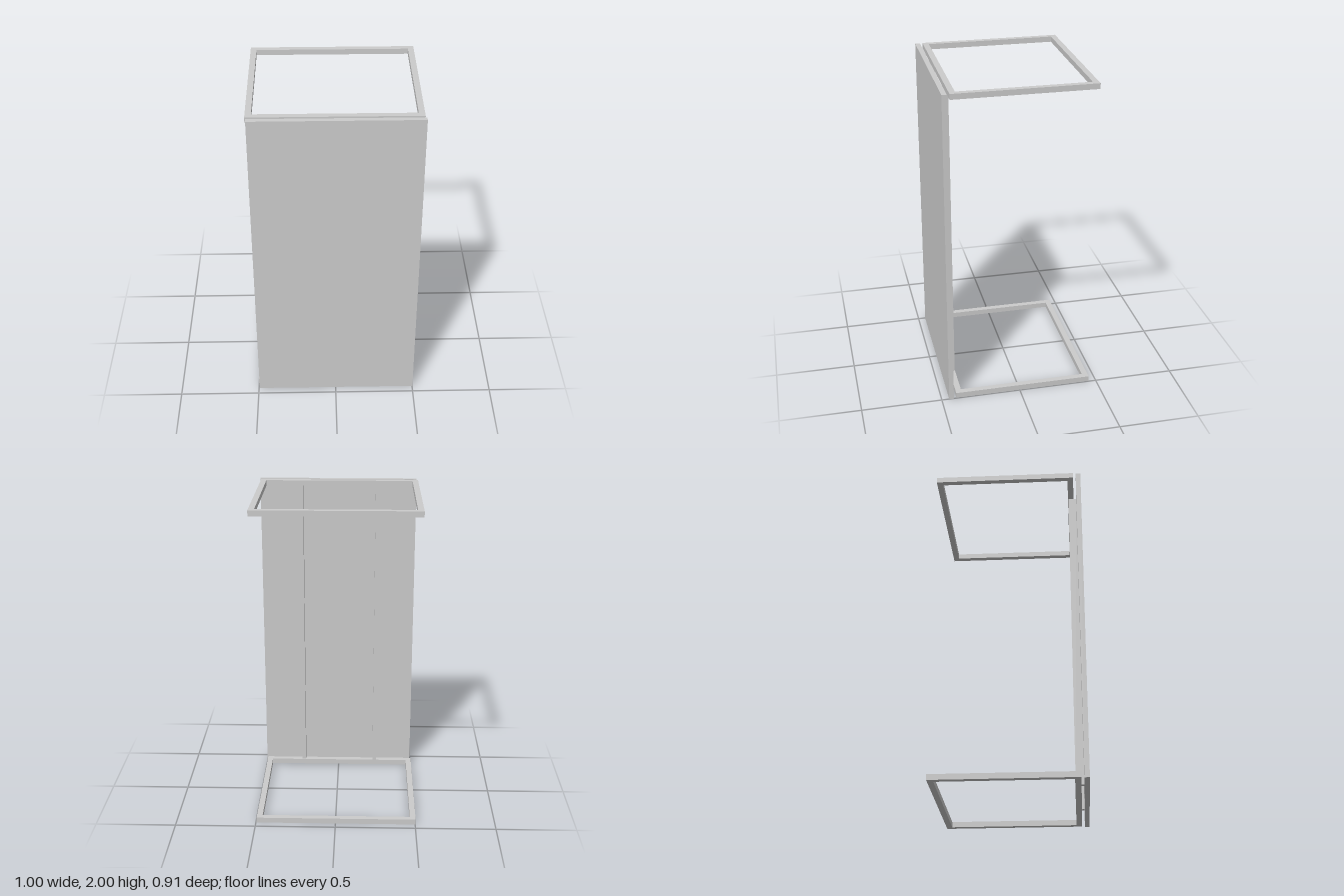
import * as THREE from 'three';

const material = new THREE.MeshStandardMaterial({ color: 0xcccccc, flatShading: true });

// Box given by its lower and upper limits on each axis
function box(name, [x0, x1], [y0, y1], [z0, z1]) {
  const mesh = new THREE.Mesh(new THREE.BoxGeometry(x1 - x0, y1 - y0, z1 - z0), material);
  mesh.position.set((x0 + x1) / 2, (y0 + y1) / 2, (z0 + z1) / 2);
  mesh.name = name;
  return mesh;
}

// Rectangular ring lying flat, extruded upward from y
function ringFrame(name, [x0, x1], [z0, z1], bar, y, height) {
  const corners = (inset) => [
    new THREE.Vector2(x0 + inset, -z1 + inset),
    new THREE.Vector2(x1 - inset, -z1 + inset),
    new THREE.Vector2(x1 - inset, -z0 - inset),
    new THREE.Vector2(x0 + inset, -z0 - inset),
  ];
  const shape = new THREE.Shape(corners(0));
  shape.holes.push(new THREE.Path(corners(bar).reverse()));
  const geometry = new THREE.ExtrudeGeometry(shape, { depth: height, bevelEnabled: false });
  geometry.rotateX(-Math.PI / 2);
  const mesh = new THREE.Mesh(geometry, material);
  mesh.position.y = y;
  mesh.name = name;
  return mesh;
}

export function createModel() {
  const group = new THREE.Group();
  group.name = 'panelStand';
  const barHeight = 0.034;
  const barWidth = 0.0355;
  const frameX = [-0.5025, 0.495];
  const frameZ = [-0.4535, 0.407];

  // Front panel, slightly offset sideways from the frames
  group.add(box('frontPanel', [-0.495, 0.5025], [0, 2], [0.424, 0.4535]));

  // Open frames at floor and top
  group.add(ringFrame('bottomFrame', frameX, frameZ, barWidth, 0, barHeight));
  group.add(ringFrame('topFrame', frameX, frameZ, barWidth, 2 - barHeight, barHeight));

  // Posts behind the panel, joining the two frames
  for (const [name, x] of [['rightPost', -0.248], ['leftPost', 0.24]]) {
    group.add(box(name, [x - 0.0122, x + 0.0122], [barHeight, 2 - barHeight], [0.374, 0.424]));
  }
  return group;
}
